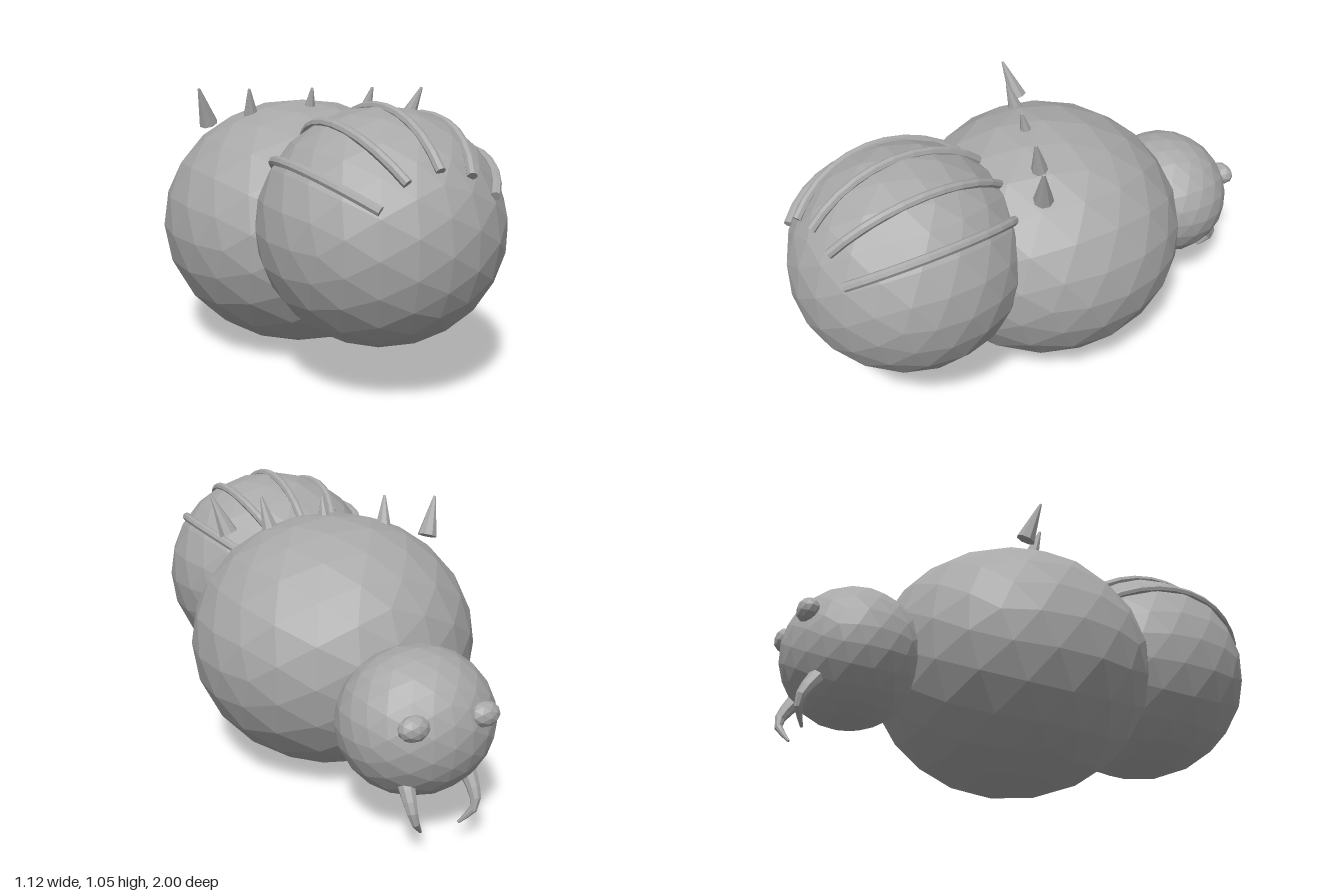
import * as THREE from 'three';

const grey = new THREE.MeshStandardMaterial({ color: 0xa8a8a8, flatShading: true });
grey.name = 'grey';

const V = (x, y, z) => new THREE.Vector3(x, y, z);

export function createModel() {
  const model = new THREE.Group();
  model.name = 'beetle';

  function add(name, geometry, parent = model) {
    const mesh = new THREE.Mesh(geometry, grey);
    mesh.name = name;
    parent.add(mesh);
    return mesh;
  }

  // Faceted ellipsoid
  function blob(name, centre, radii, detail) {
    const mesh = add(name, new THREE.IcosahedronGeometry(1, detail));
    mesh.scale.copy(radii);
    mesh.position.copy(centre);
  }

  // Capped tube whose radius runs from r0 to r1
  function taperedTube(name, points, segments, r0, r1, sides) {
    const group = new THREE.Group();
    group.name = name;
    model.add(group);
    const curve = new THREE.CatmullRomCurve3(points);
    const geometry = new THREE.TubeGeometry(curve, segments, 1, sides);
    const pos = geometry.attributes.position;
    const p = V(0, 0, 0);
    for (let i = 0; i < pos.count; i++) {
      const t = Math.floor(i / (sides + 1)) / segments;
      const centre = curve.getPointAt(t);
      p.fromBufferAttribute(pos, i).sub(centre).multiplyScalar(r0 + (r1 - r0) * t).add(centre);
      pos.setXYZ(i, p.x, p.y, p.z);
    }
    add(name + 'Shaft', geometry, group);
    for (const [t, r, dir] of [[0, r0, -1], [1, r1, 1]]) {
      const cap = add(name + 'Cap', new THREE.CircleGeometry(r, sides), group);
      cap.position.copy(curve.getPointAt(t));
      cap.quaternion.setFromUnitVectors(V(0, 0, 1), curve.getTangentAt(t).multiplyScalar(dir));
    }
  }

  // Body sections
  const abdomen = V(0, 0.61, 0.55);
  blob('abdomen', abdomen, V(0.45, 0.43, 0.45), 3);
  blob('thorax', V(0, 0.495, -0.07), V(0.56, 0.492, 0.56), 3);
  blob('head', V(0, 0.41, -0.735), V(0.29, 0.265, 0.262), 3);

  // Ribs arching lengthwise over the abdomen
  for (let i = -2; i <= 2; i++) {
    const phi = i * 0.465;
    const points = [];
    for (let k = 0; k <= 8; k++) {
      const t = -0.78 + k * 0.21;
      points.push(V(
        0.45 * Math.sin(phi) * Math.cos(t),
        abdomen.y + 0.427 * Math.cos(phi) * Math.cos(t),
        abdomen.z + 0.46 * Math.sin(t)
      ));
    }
    taperedTube('rib', points, 10, 0.018, 0.018, 8);
  }

  // Diagonal row of spikes on the back
  const spikes = [[-0.35, -0.195, -0.052], [-0.205, -0.1, -0.025], [0, -0.01, 0], [0.195, 0.08, 0.025], [0.34, 0.17, 0.052]];
  for (const [x, z, lean] of spikes) {
    const direction = V(lean, 0.145, 0.038);
    const length = direction.length();
    const spike = add('spike', new THREE.CylinderGeometry(0.005, 0.038, length, 8));
    spike.position.set(x, 0.9, z).addScaledVector(direction, 0.5);
    spike.quaternion.setFromUnitVectors(V(0, 1, 0), direction.normalize());
  }

  // Eyes and hooked mandibles
  for (const s of [-1, 1]) {
    blob('eye', V(s * 0.135, 0.492, -0.953), V(0.058, 0.046, 0.041), 1);
    taperedTube('mandible', [
      V(s * 0.12, 0.27, -0.88), V(s * 0.125, 0.21, -0.925),
      V(s * 0.12, 0.15, -0.95), V(s * 0.075, 0.078, -0.918)
    ], 6, 0.034, 0.005, 8);
  }

  return model;
}
